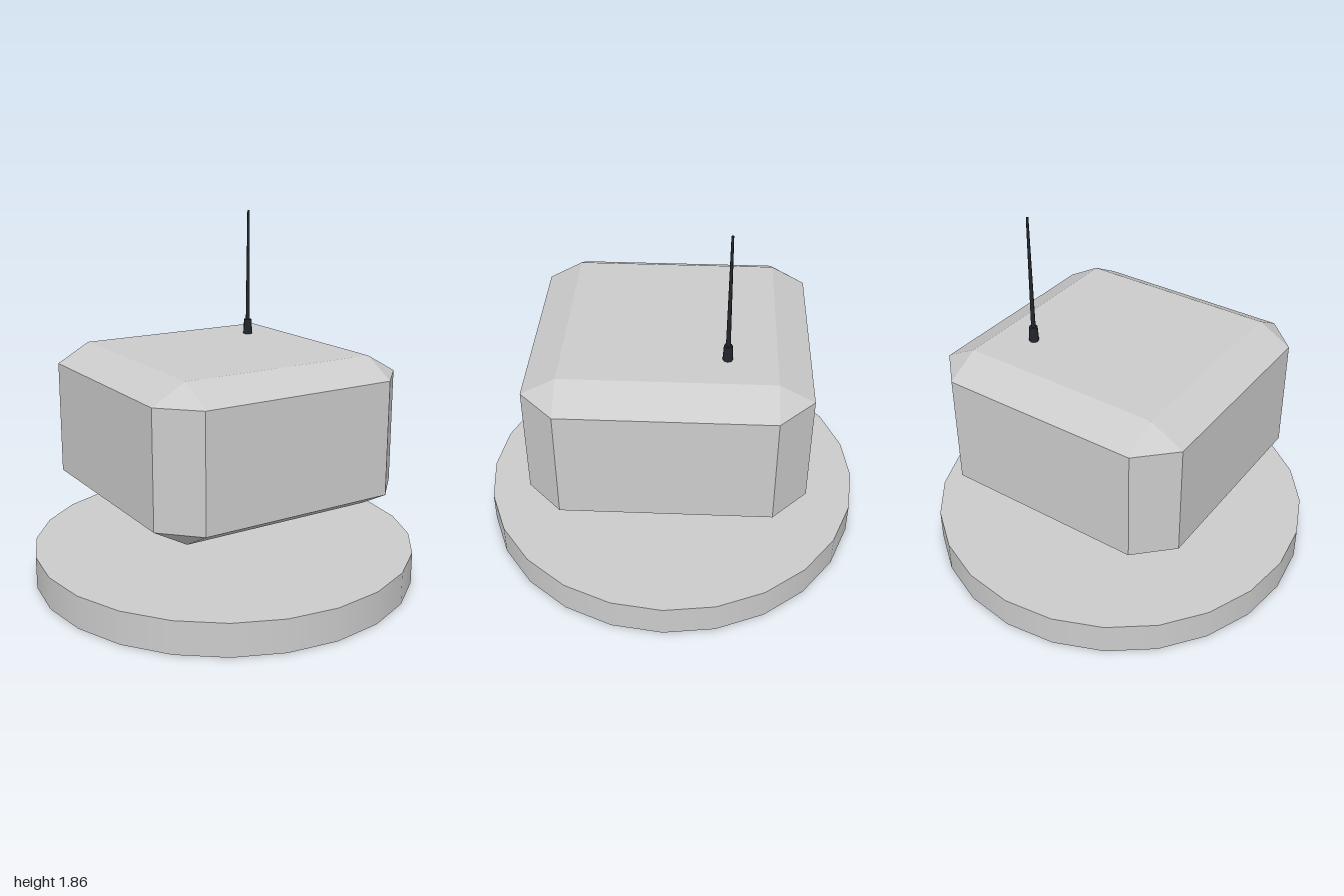
import * as THREE from 'three';
import { ConvexGeometry } from 'three/addons/geometries/ConvexGeometry.js';

const grey = new THREE.MeshStandardMaterial({ color: 0xcccccc });
const greyFlat = new THREE.MeshStandardMaterial({ color: 0xcccccc, flatShading: true });
const dark = new THREE.MeshStandardMaterial({ color: 0x22262b });

// Upright, optionally tapered cylinder standing on height y
function post(name, rTop, rBottom, y, height, sides, material) {
  const geometry = new THREE.CylinderGeometry(rTop, rBottom, height, sides);
  geometry.translate(0, y + height / 2, 0);
  const mesh = new THREE.Mesh(geometry, material);
  mesh.name = name;
  return mesh;
}

// Box with every edge and corner cut off
function chamferedBox(half, halfHeight, cut, cutHeight) {
  const points = [];
  const inner = half - cut;
  for (const sx of [-1, 1]) for (const sy of [-1, 1]) for (const sz of [-1, 1]) {
    points.push(
      new THREE.Vector3(sx * half, sy * (halfHeight - cutHeight), sz * inner),
      new THREE.Vector3(sx * inner, sy * (halfHeight - cutHeight), sz * half),
      new THREE.Vector3(sx * inner, sy * halfHeight, sz * inner),
    );
  }
  return new ConvexGeometry(points);
}

export function createModel() {
  const model = new THREE.Group();

  // Round base plate
  model.add(post('base', 1, 1, 0, 0.168, 24, grey));

  // Body hovering above the base
  const body = new THREE.Mesh(chamferedBox(0.692, 0.388, 0.172, 0.096), greyFlat);
  body.name = 'body';
  body.position.y = 0.808;
  model.add(body);

  // Antenna with a thick foot, at the back left of the roof
  const antenna = new THREE.Group();
  antenna.name = 'antenna';
  antenna.position.set(0.33, 1.196, -0.28);
  antenna.add(
    post('antennaFoot', 0.021, 0.025, 0, 0.08, 8, dark),
    post('antennaMast', 0.006, 0.012, 0, 0.668, 8, dark),
  );
  model.add(antenna);

  return model;
}
